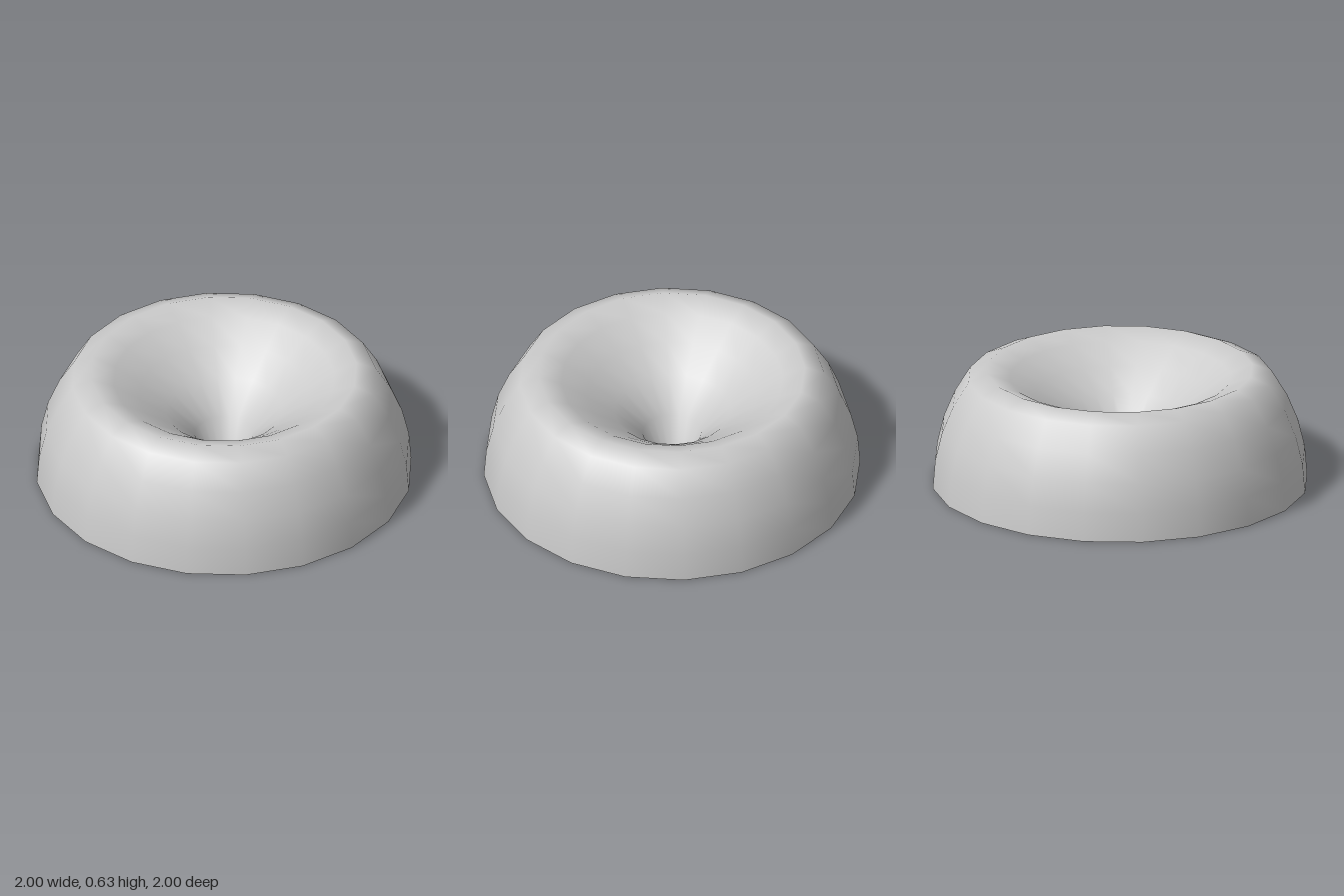
import * as THREE from 'three';

export function createModel() {
  const group = new THREE.Group();
  const material = new THREE.MeshStandardMaterial({ color: 0xcccccc, side: THREE.DoubleSide });

  // Domed outer wall: a circular arc in 9 degree steps
  const profile = [];
  for (let i = 0; i <= 4; i++) {
    const a = THREE.MathUtils.degToRad(9 * i);
    profile.push(new THREE.Vector2(Math.cos(a), Math.sin(a)));
  }

  // Rounded lip, then the funnel sinking to a small open spout at the base
  const funnel = [[0.707, 0.63], [0.588, 0.583], [0.454, 0.49], [0.309, 0.385], [0.156, 0.235], [0.07, 0]];
  for (const [r, y] of funnel) profile.push(new THREE.Vector2(r, y));

  const shell = new THREE.Mesh(new THREE.LatheGeometry(profile, 20), material);
  shell.name = 'funnelShell';
  group.add(shell);
  return group;
}
